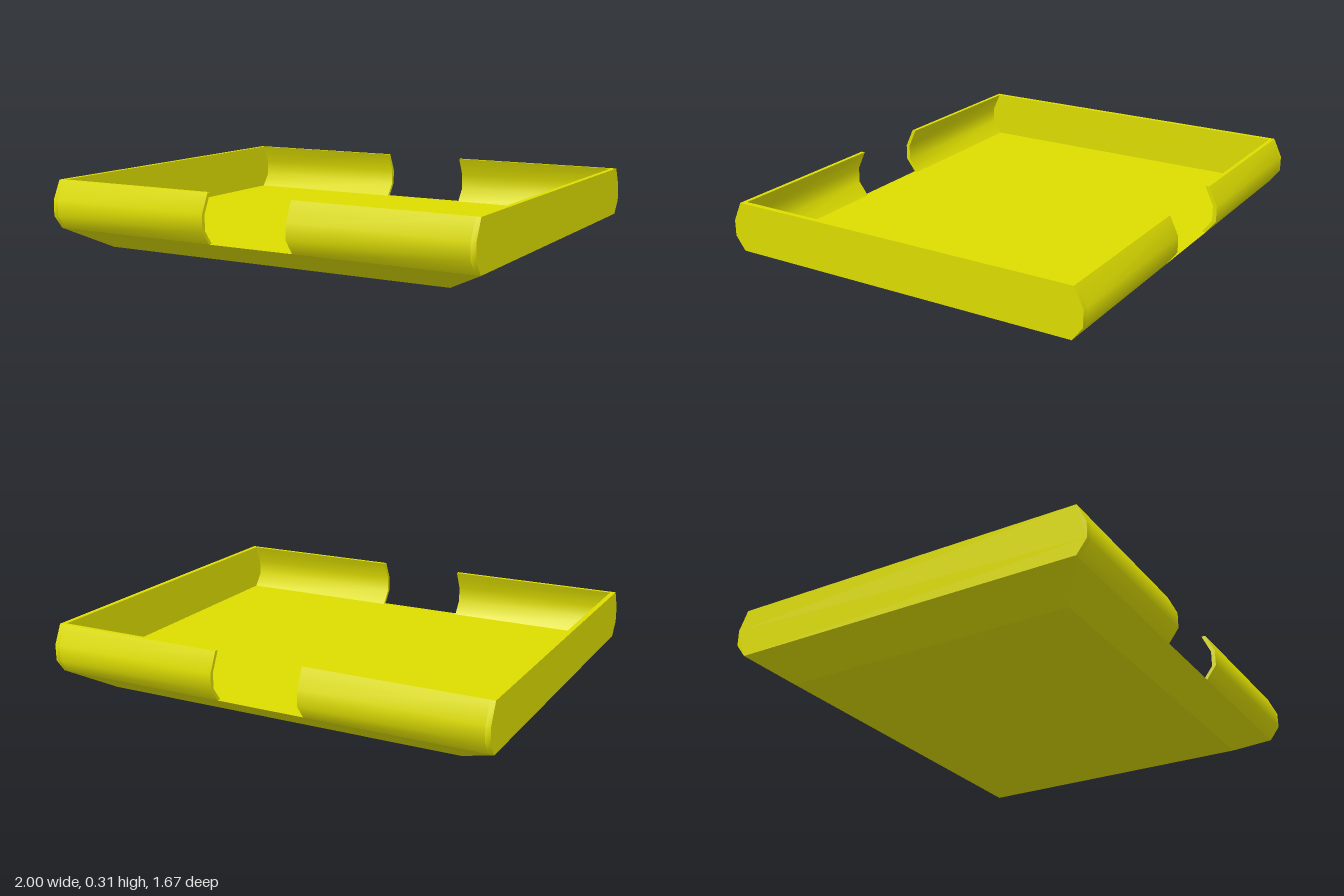
import * as THREE from 'three';
import { toCreasedNormals } from 'three/addons/utils/BufferGeometryUtils.js';

const FLOOR = 0.09;
const THICK = 0.018;
// Bulging wall profile as [z, y], from the floor to the rim
const PROFILE = [[0.79, FLOOR], [0.835, 0.15], [0.835, 0.22], [0.795, 0.305]];

// Extrude a closed [z, y] outline along x, starting at x = start
function extrudeAlongX(outline, start, length) {
  const shape = new THREE.Shape(outline.map(([z, y]) => new THREE.Vector2(-z, y)));
  const geo = new THREE.ExtrudeGeometry(shape, { depth: length, bevelEnabled: false });
  geo.rotateY(Math.PI / 2).translate(start, 0, 0);
  return toCreasedNormals(geo, 0.8);
}

export function createModel() {
  const tray = new THREE.Group();
  tray.name = 'tray';
  const material = new THREE.MeshStandardMaterial({ color: 0xdddd00, side: THREE.DoubleSide });
  const add = (name, geo) => {
    const mesh = new THREE.Mesh(geo, material);
    mesh.name = name;
    tray.add(mesh);
  };

  // Base slab, tapering inward toward the ground
  const base = new THREE.BoxGeometry(2, FLOOR, 1.58).translate(0, FLOOR / 2, 0);
  const pos = base.attributes.position;
  for (let i = 0; i < pos.count; i++) {
    if (pos.getY(i) < 0.01) {
      pos.setX(i, Math.sign(pos.getX(i)) * 0.82);
      pos.setZ(i, Math.sign(pos.getZ(i)) * 0.66);
    }
  }
  base.computeVertexNormals();
  add('base', base);

  // Flat end walls closing the full cross-section
  const mirrored = PROFILE.map(([z, y]) => [-z, y]).reverse();
  const section = [...PROFILE, ...mirrored];
  add('leftEndWall', extrudeAlongX(section, 1 - 0.022, 0.022));
  add('rightEndWall', extrudeAlongX(section, -1, 0.022));

  // Thin curved walls on front and back, split by the central notch
  for (const [face, s] of [['front', 1], ['back', -1]]) {
    const outer = PROFILE.map(([z, y]) => [s * z, y]);
    const inner = PROFILE.map(([z, y]) => [s * (z - THICK), y]).reverse();
    const outline = [...outer, ...inner];
    add(face + 'LeftWall', extrudeAlongX(outline, 0.2, 0.778));
    add(face + 'RightWall', extrudeAlongX(outline, -0.978, 0.778));
  }
  return tray;
}
